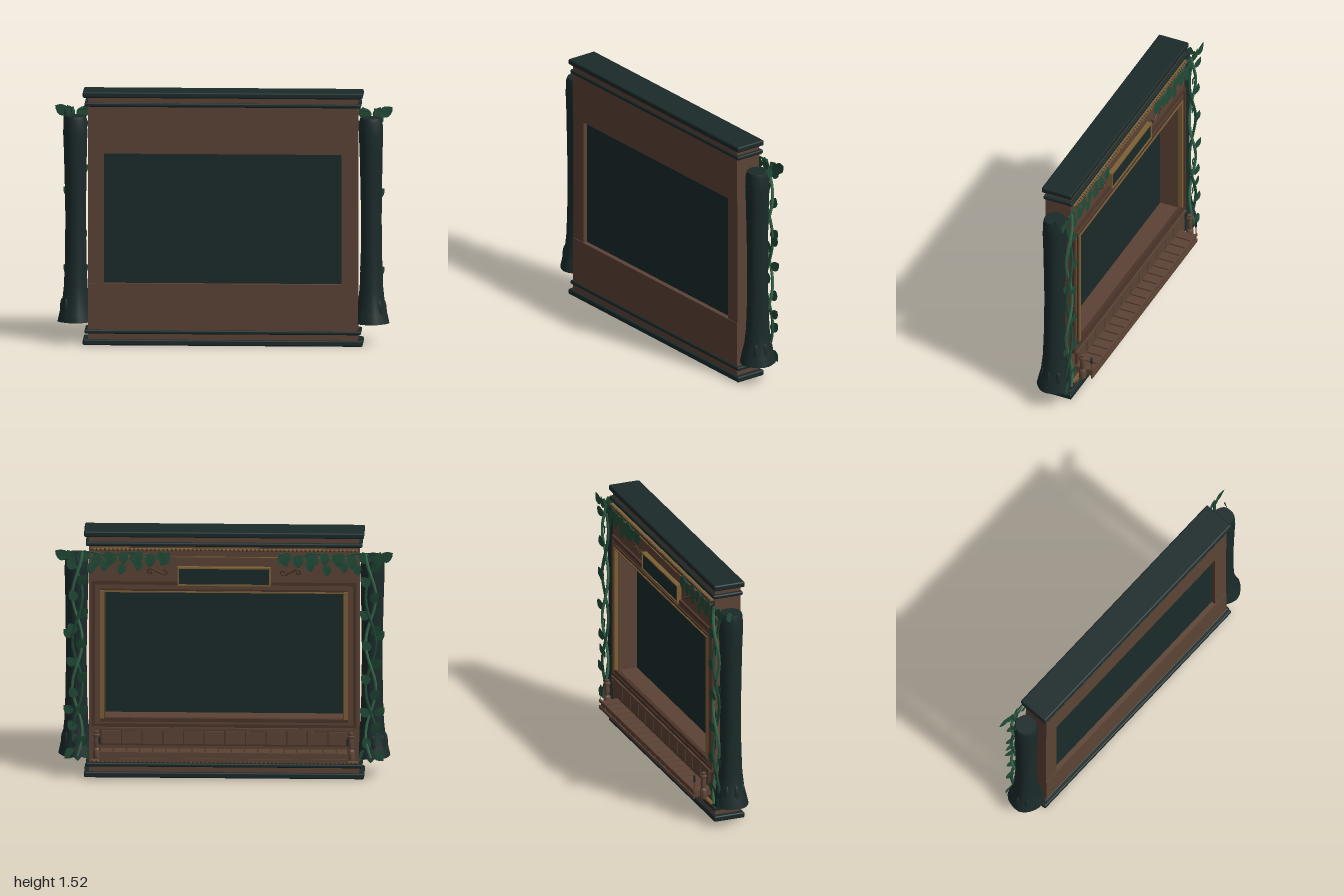
import * as THREE from 'three';
import { toCreasedNormals } from 'three/addons/utils/BufferGeometryUtils.js';
import { RoundedBoxGeometry } from 'three/addons/geometries/RoundedBoxGeometry.js';

const mat = (name, color, side = THREE.FrontSide) => {
  const m = new THREE.MeshStandardMaterial({ color, side });
  m.name = name;
  return m;
};

export function createModel() {
  const wood = mat('brown wood', 0x5c4335);
  const darkWood = mat('dark brown wood', 0x4b3429);
  const slate = mat('dark slate', 0x1b2a2a);
  const gold = mat('old gold', 0x7d6034);
  const green = mat('leaf green', 0x204a37, THREE.DoubleSide);
  const vineGreen = mat('vine green', 0x35694c);

  const root = new THREE.Group();
  root.name = 'stageFrame';

  const add = (name, geo, m, x = 0, y = 0, z = 0, parent = root) => {
    const mesh = new THREE.Mesh(geo, m);
    mesh.name = name;
    mesh.position.set(x, y, z);
    parent.add(mesh);
    return mesh;
  };
  // box given by its limits
  const box = (name, m, x0, x1, y0, y1, z0, z1) =>
    add(name, new THREE.BoxGeometry(x1 - x0, y1 - y0, z1 - z0), m, (x0 + x1) / 2, (y0 + y1) / 2, (z0 + z1) / 2);
  const slab = (name, m, w, y0, y1, z0, z1) =>
    add(name, new RoundedBoxGeometry(w, y1 - y0, z1 - z0, 2, 0.009), m, 0, (y0 + y1) / 2, (z0 + z1) / 2);
  // rectangular border, hollow in the middle, extruded from z0 to z1
  const border = (name, m, hw, y0, y1, t, z0, z1) => {
    const rect = (P, w, a, b) => {
      const p = new P();
      p.moveTo(-w, a); p.lineTo(w, a); p.lineTo(w, b); p.lineTo(-w, b); p.closePath();
      return p;
    };
    const s = rect(THREE.Shape, hw, y0, y1);
    s.holes.push(rect(THREE.Path, hw - t, y0 + t, y1 - t));
    return add(name, new THREE.ExtrudeGeometry(s, { depth: z1 - z0, bevelEnabled: false }), m, 0, 0, z0);
  };
  const tube = (name, pts, r, m, parent = root, seg = 48) =>
    add(name, new THREE.TubeGeometry(new THREE.CatmullRomCurve3(pts), seg, r, 6), m, 0, 0, 0, parent);

  // ---- main case with deep opening
  box('lowerPanel', wood, -0.8, 0.8, 0.02, 0.37, -0.035, 0.13);
  box('upperPanel', wood, -0.8, 0.8, 1.15, 1.5, -0.035, 0.13);
  for (const s of [-1, 1])
    box('sidePanel', wood, s < 0 ? -0.8 : 0.705, s < 0 ? -0.705 : 0.8, 0.37, 1.15, -0.035, 0.126);
  box('screen', slate, -0.705, 0.705, 0.37, 1.15, 0.08, 0.1);

  // ---- base and cornice
  slab('baseSlab', slate, 1.66, 0, 0.035, -0.05, 0.145);
  slab('baseMoulding', slate, 1.64, 0.068, 0.092, -0.052, 0.138);
  slab('corniceMoulding', slate, 1.64, 1.43, 1.455, -0.052, 0.138);
  slab('topSlab', slate, 1.66, 1.485, 1.52, -0.05, 0.145);

  // ---- stepped frame around the opening, gilded at the sides and top
  border('outerFrame', darkWood, 0.785, 0.315, 1.215, 0.02, -0.05, -0.03);
  border('innerFrame', wood, 0.765, 0.335, 1.195, 0.03, -0.045, -0.03);
  border('openingFrame', darkWood, 0.735, 0.35, 1.17, 0.02, -0.054, -0.03);
  for (const s of [-1, 1])
    box('goldJamb', gold, s * 0.723 - 0.011, s * 0.723 + 0.011, 0.37, 1.16, -0.06, -0.03);
  box('goldHead', gold, -0.72, 0.72, 1.15, 1.158, -0.06, -0.05);

  // ---- fine beading at top and bottom of the face
  for (const y of [1.415, 0.105]) {
    box('goldStrip', gold, -0.79, 0.79, y - 0.003, y + 0.003, -0.062, -0.03);
    for (let i = 0; i < 64; i++)
      add('bead', new THREE.SphereGeometry(0.008, 6, 4), darkWood, -0.78 + i * 0.02476, y, -0.058);
  }
  box('goldLine', gold, -0.79, 0.79, 1.363, 1.367, -0.04, -0.03);

  // ---- name plate and scrolls
  box('nameplate', slate, -0.268, 0.268, 1.2, 1.3, -0.058, -0.03);
  border('nameplateFrame', gold, 0.277, 1.193, 1.307, 0.009, -0.064, -0.03);
  for (const s of [-1, 1]) {
    // flat S-curve with curled ends
    const half = [[0.012, 0.004], [0.028, 0.016], [0.048, 0.016], [0.058, 0.002], [0.048, -0.011], [0.036, -0.006], [0.04, 0.003]];
    const pts = [...half.map(([x, y]) => [-x, -y]).reverse(), ...half]
      .map(([x, y]) => new THREE.Vector3(s * (0.395 + x), 1.275 + y, -0.04));
    tube('scroll', pts, 0.006, darkWood, root, 60);
  }

  // ---- balcony: brick parapet, spaced planks, front lip and newels
  box('parapetBack', darkWood, -0.74, 0.74, 0.2, 0.3, -0.043, -0.03);
  for (let i = 0; i < 12; i++) {
    const x = -0.735 + i * 0.1225;
    box('brick', wood, x, x + 0.115, 0.212, 0.292, -0.051, -0.04);
  }
  box('parapetCap', wood, -0.77, 0.77, 0.3, 0.315, -0.06, -0.03);
  for (let i = 0; i < 19; i++) {
    const x = -0.738 + i * 0.0777;
    box('plank', wood, x, x + 0.068, 0.14, 0.18, -0.141, -0.035);
  }
  for (const [y, h] of [[0.14, 0.01], [0.18, 0.008]])
    box('balconyLip', wood, -0.74, 0.74, y - h, y + h, -0.148, -0.139);
  const newelProfile = [[0, 0.135], [0.022, 0.135], [0.022, 0.19], [0.014, 0.2], [0.017, 0.235], [0.013, 0.265],
    [0.02, 0.27], [0.02, 0.28], [0.013, 0.285], [0.015, 0.298], [0, 0.305]].map(p => new THREE.Vector2(...p));
  for (const s of [-1, 1]) {
    add('newel', toCreasedNormals(new THREE.LatheGeometry(newelProfile, 12), 0.7), wood, s * 0.755, 0, -0.09);
    add('pinStem', new THREE.CylinderGeometry(0.003, 0.003, 0.06, 6), wood, s * 0.735, 0.21, -0.139);
    add('pin', new THREE.CapsuleGeometry(0.006, 0.036, 3, 8), slate, s * 0.735, 0.257, -0.139);
  }

  // ---- leaf blade: broad pointed oval folded along its midrib, growing along +y
  const ls = new THREE.Shape();
  ls.moveTo(0, 0);
  ls.bezierCurveTo(0.55, 0.08, 0.5, 0.65, 0, 1);
  ls.bezierCurveTo(-0.5, 0.65, -0.55, 0.08, 0, 0);
  const blade = new THREE.ShapeGeometry(ls, 6);
  const lp = blade.attributes.position;
  for (let i = 0; i < lp.count; i++)
    lp.setZ(i, 0.25 * Math.abs(lp.getX(i)) - 0.15 * Math.sin(lp.getY(i) * 3));
  blade.computeVertexNormals();
  const leaf = (parent, x, y, z, angle, size, yaw = 0) => {
    const m = add('leaf', blade, green, x, y, z, parent);
    m.rotation.set(0, yaw, angle, 'YXZ');
    m.scale.setScalar(size);
  };

  // ---- trunk columns with roots, vines and leaves on both sides
  const trunkProfile = [[0, 0.13], [0.107, 0.13], [0.096, 0.18], [0.081, 0.24], [0.07, 0.34], [0.064, 0.5], [0.061, 0.75],
    [0.064, 0.95], [0.068, 1.15], [0.072, 1.26], [0.069, 1.34], [0.063, 1.36], [0, 1.36]].map(p => new THREE.Vector2(...p));
  for (const s of [-1, 1]) {
    const side = new THREE.Group();
    side.name = s < 0 ? 'rightColumn' : 'leftColumn';
    root.add(side);
    const trunk = new THREE.LatheGeometry(trunkProfile, 20);
    const tp = trunk.attributes.position;
    for (let i = 0; i < tp.count; i++) {
      const a = Math.atan2(tp.getZ(i), tp.getX(i)), y = tp.getY(i);
      const k = 1 + 0.025 * Math.sin(5 * a + y * 3);
      tp.setXYZ(i, tp.getX(i) * k, y, tp.getZ(i) * k);
    }
    add('trunk', toCreasedNormals(trunk, 0.8), slate, s * 0.877, 0, 0.035, side);
    for (let i = 0; i < 5; i++) {
      const a = -2.2 + i * 0.75;
      const r = add('root', new THREE.SphereGeometry(1, 8, 8), slate,
        s * (0.877 + 0.075 * Math.cos(a)), 0.2, 0.035 + 0.075 * Math.sin(a), side);
      r.scale.set(0.018, 0.07, 0.018);
    }
    // two winding vines
    for (let v = 0; v < 2; v++) {
      const pts = [];
      for (let i = 0; i <= 26; i++) {
        const t = i / 26, w = t * 14 + v * Math.PI;
        pts.push(new THREE.Vector3(s * (0.87 + 0.03 * Math.sin(w)), 0.14 + t * 1.26, -0.055 + 0.015 * Math.cos(w)));
      }
      tube('vine', pts, 0.009, v ? vineGreen : green, side, 90);
    }
    // leaves alternate up the vine
    for (let i = 0; i < 12; i++) {
      const d = i % 2 ? 1 : -1;
      leaf(side, s * (0.87 + d * 0.01), 0.2 + i * 0.1, -0.066, -s * d * (0.45 + 0.2 * (i % 3)), 0.075, s * d * 0.2);
    }
    for (const y of [0.4, 0.87])
      leaf(side, s * 0.9, y, -0.055, -s * 0.8, 0.072);
    // crown and foot tufts
    const tuft = [[0.93, 1.36, -1.0, 0.085], [0.9, 1.34, -0.4, 0.075], [0.86, 1.34, 0.5, 0.075], [0.93, 1.37, -1.3, 0.07],
      [0.83, 1.34, 0.1, 0.07], [0.85, 0.18, 2.5, 0.075], [0.89, 0.18, -2.4, 0.08], [0.87, 0.17, 3.1, 0.065]];
    tuft.forEach(([x, y, a, l], i) => leaf(side, s * x, y, -0.062 + 0.006 * (i % 3), s * a, l));
    leaf(side, s * 0.94, 1.33, 0.01, -s * 0.3, 0.065, s * 1.2);

    // garland along the top of the face
    const stem = [];
    for (let i = 0; i <= 8; i++)
      stem.push(new THREE.Vector3(s * (0.86 - i * 0.067), 1.385 + 0.012 * Math.sin(i * 1.7), -0.052));
    tube('garlandStem', stem, 0.006, green, side, 32);
    for (let i = 0; i < 10; i++)
      leaf(side, s * (0.81 - i * 0.053), 1.4 - 0.01 * (i % 2), -0.06 - 0.004 * (i % 3),
        Math.PI + s * (0.5 - 0.5 * (i % 3)), 0.075 + 0.01 * (i % 2));
    for (const [x, y] of [[0.5, 1.35], [0.6, 1.325], [0.7, 1.345], [0.78, 1.33]])
      leaf(side, s * x, y, -0.055, Math.PI + s * 0.25, 0.07);
  }
  return root;
}
